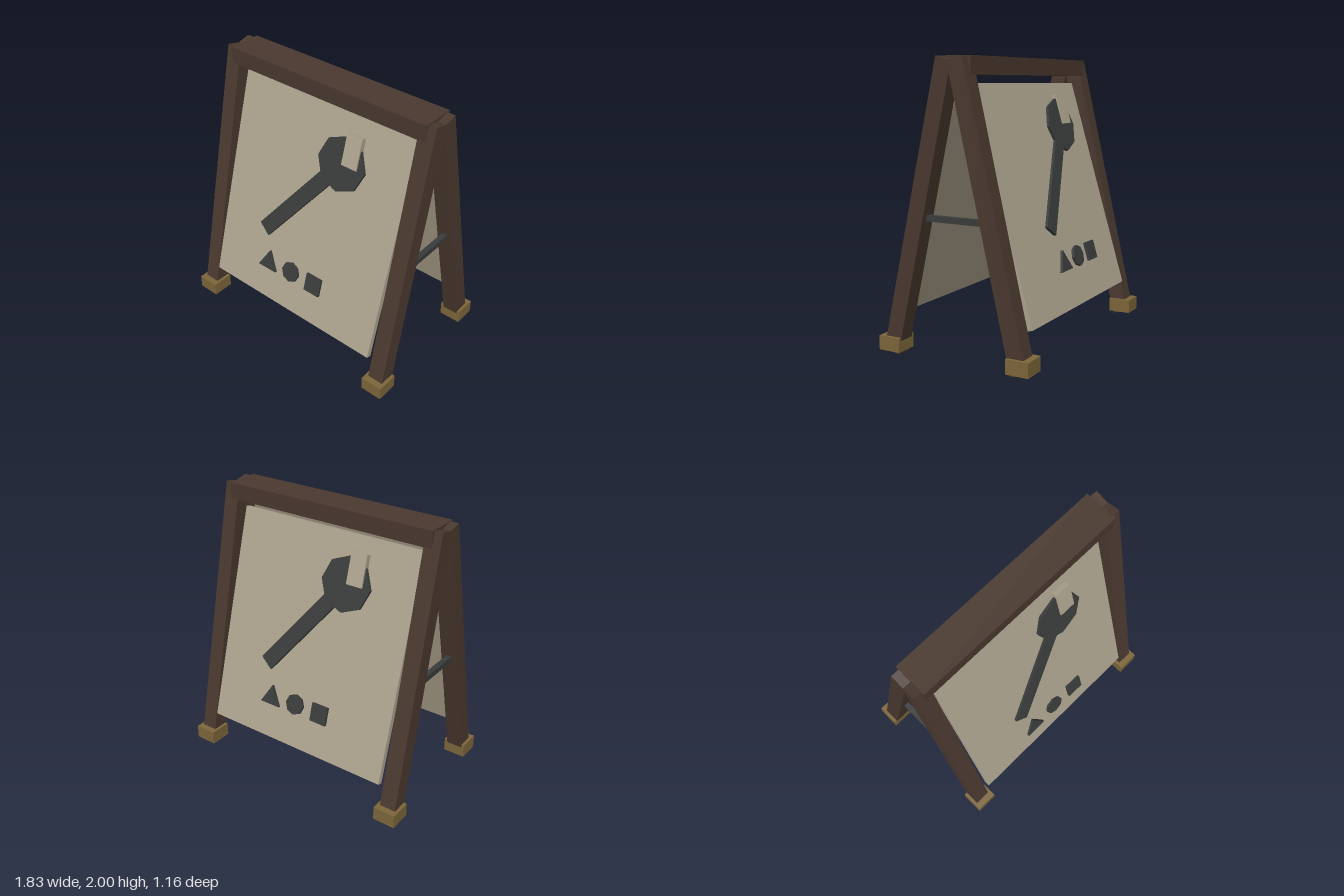
import * as THREE from 'three';

const mat = (color) => new THREE.MeshStandardMaterial({ color, flatShading: true });

export function createModel() {
  const wood = mat(0x4a392f), board = mat(0xada38e), iron = mat(0x3a3c3b), brass = mat(0x7d663a);

  const add = (parent, name, geometry, material, x, y, z) => {
    const mesh = new THREE.Mesh(geometry, material);
    mesh.name = name;
    mesh.position.set(x, y, z);
    parent.add(mesh);
    return mesh;
  };
  const box = (parent, name, material, w, h, d, x, y, z) =>
    add(parent, name, new THREE.BoxGeometry(w, h, d), material, x, y, z);

  // Flat regular polygon facing +z, first corner pointing up
  const plate = (parent, name, sides, radius, depth, x, y, z) =>
    add(parent, name, new THREE.CylinderGeometry(radius, radius, depth, sides)
      .rotateX(Math.PI / 2).rotateZ(sides === 3 ? Math.PI : 0), iron, x, y, z);

  // One leaning face of the stand: two legs with feet, and the sign board
  function createSide(name) {
    const side = new THREE.Group();
    side.name = name;

    const lean = Math.atan(0.231);
    for (const s of [-1, 1]) {
      const leg = box(side, 'leg', wood, 0.12, 2.022, 0.12, s * 0.83, 0.998, 0.268);
      leg.rotation.x = -lean;
      box(side, 'foot', brass, 0.165, 0.1, 0.165, s * 0.83, 0.07, 0.497);
    }

    // Board tilts a little more than the legs
    const sign = new THREE.Group();
    sign.name = 'sign';
    sign.position.set(0, 1.044, 0.272);
    sign.rotation.x = -0.288;
    side.add(sign);
    box(sign, 'board', board, 1.49, 1.62, 0.04, 0, 0, 0);

    // Height on the board for a given height above ground
    const up = (y) => (y - 1.069) / 0.959;
    const w = 0.078;

    // Wrench: octagonal head, slanted handle, jaw gap as a board-coloured block
    const head = [0.249, up(1.524)], tail = [-0.299, up(0.833)];
    const dx = head[0] - tail[0], dy = head[1] - tail[1];
    plate(sign, 'wrenchHead', 8, 0.197, 0.02, head[0], head[1], w);
    const handle = box(sign, 'wrenchHandle', iron, 0.115, Math.hypot(dx, dy), 0.02,
      (head[0] + tail[0]) / 2, (head[1] + tail[1]) / 2, w);
    handle.rotation.z = -Math.atan2(dx, dy);
    box(sign, 'wrenchJawGap', board, 0.125, 0.224, 0.04, 0.322, up(1.636), 0.08);

    // Row of small shapes
    plate(sign, 'triangle', 3, 0.095, 0.02, -0.214, up(0.601), w);
    plate(sign, 'disc', 8, 0.075, 0.02, 0, up(0.619), w);
    box(sign, 'square', iron, 0.132, 0.132, 0.02, 0.214, up(0.619), w);
    return side;
  }

  const model = new THREE.Group();
  model.name = 'sandwichBoard';
  const front = createSide('frontSide');
  const back = createSide('backSide');
  back.rotation.y = Math.PI;
  model.add(front, back);

  // Ridge beam and the braces between the legs
  box(model, 'ridgeBeam', wood, 1.66, 0.12, 0.25, 0, 1.94, 0);
  for (const s of [-1, 1]) box(model, 'brace', iron, 0.04, 0.04, 0.48, s * 0.83, 0.95, 0);

  return model;
}
